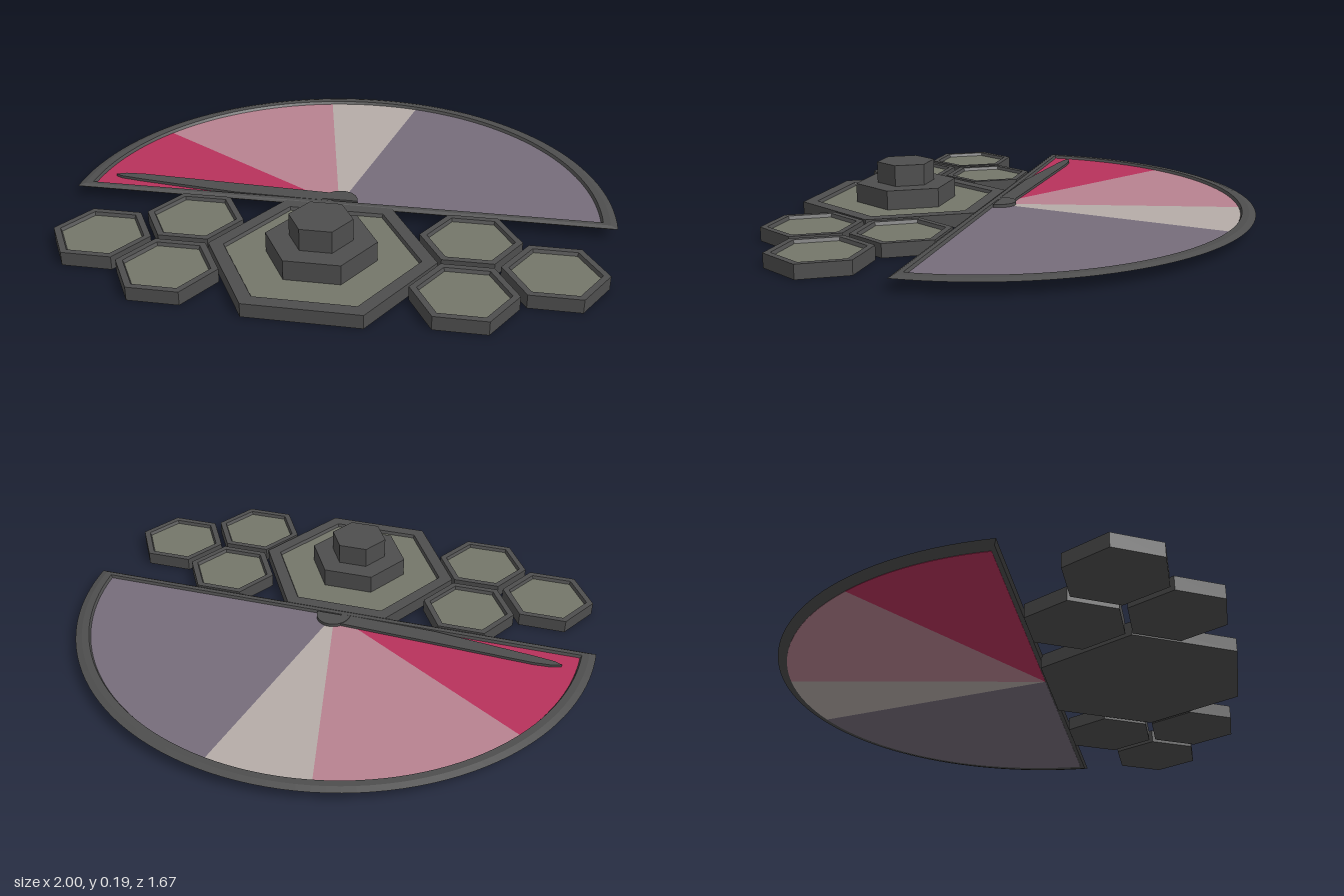
import * as THREE from 'three';

const paint = (name, color) => Object.assign(new THREE.MeshStandardMaterial({ color }), { name });

// Faceted copy of a geometry
function facet(geometry) {
  const g = geometry.index ? geometry.toNonIndexed() : geometry;
  g.computeVertexNormals();
  return g;
}

// Thin plate lying flat; points are [x, z]
function plate(points, depth, y) {
  const shape = new THREE.Shape(points.map(([x, z]) => new THREE.Vector2(x, -z)));
  const g = new THREE.ExtrudeGeometry(shape, { depth, bevelEnabled: false });
  return g.rotateX(-Math.PI / 2).translate(0, y, 0);
}

// Half-round rim: profile rows are [radius, front z, y]
function rimGeometry(profile, segments) {
  const centre = 0.15;
  const loops = profile.map(([r, front, y]) => {
    const a0 = -Math.asin((front - centre) / (r * 0.99));
    return Array.from({ length: segments + 1 }, (_, i) => {
      const a = a0 + (Math.PI - 2 * a0) * i / segments;
      return [-r * Math.cos(a), y, centre - 0.99 * r * Math.sin(a)];
    });
  });
  const pos = [];
  const n = segments + 1;
  loops.forEach((loop, j) => {
    const next = loops[(j + 1) % loops.length];
    for (let i = 0; i < n; i++) {
      const k = (i + 1) % n;
      pos.push(...loop[i], ...loop[k], ...next[i], ...loop[k], ...next[k], ...next[i]);
    }
  });
  const g = new THREE.BufferGeometry();
  g.setAttribute('position', new THREE.Float32BufferAttribute(pos, 3));
  return facet(g);
}

export function createModel() {
  const model = new THREE.Group();
  const grey = paint('dark grey', 0x4e4e4e);
  const olive = paint('olive grey', 0x74766a);
  const crimson = paint('crimson', 0xb8325c);
  const pink = paint('dusty pink', 0xb88290);
  const pale = paint('pale grey', 0xb5aca8);
  const violet = paint('muted violet', 0x766d7b);

  const add = (parent, name, geometry, material, x = 0, y = 0, z = 0) => {
    const mesh = new THREE.Mesh(geometry, material);
    mesh.name = name;
    mesh.position.set(x, y, z);
    parent.add(mesh);
    return mesh;
  };

  // Dial: bevelled rim, coloured sectors, needle and hub
  const dial = new THREE.Group();
  dial.name = 'dial';
  model.add(dial);
  add(dial, 'dialRim', rimGeometry([
    [0.942, 0.124, 0.037], [0.95, 0.13, 0.051], [0.976, 0.147, 0.051],
    [1.0, 0.16, 0.044], [0.975, 0.15, 0.037],
  ], 64), grey);

  const sectors = [
    ['crimsonSector', 0, 32, crimson], ['pinkSector', 32, 78.4, pink],
    ['paleSector', 78.4, 101.6, pale], ['violetSector', 101.6, 180, violet],
  ];
  for (const [name, from, to, material] of sectors) {
    const steps = Math.ceil((to - from) / 3);
    const points = [[0, 0.135]];
    for (let i = 0; i <= steps; i++) {
      const a = THREE.MathUtils.degToRad(from + (to - from) * i / steps);
      points.push([-0.945 * Math.cos(a), 0.135 - 0.945 * Math.sin(a)]);
    }
    add(dial, name, plate(points, 0.005, 0.0355), material);
  }

  add(dial, 'needle', plate([
    [-0.885, 0.053], [-0.85, 0.04], [-0.78, 0.036], [-0.03, 0.07],
    [-0.03, 0.13], [-0.4, 0.122], [-0.78, 0.078], [-0.86, 0.066],
  ], 0.01, 0.041), grey);
  add(dial, 'needleHub', plate(Array.from({ length: 25 }, (_, i) => {
    const a = Math.PI * i / 24;
    return [-0.065 * Math.cos(a), 0.122 - 0.07 * Math.sin(a)];
  }), 0.012, 0.041), grey);

  // Hexagonal trays with a sunken floor
  const hexPrism = (r, h) => facet(new THREE.CylinderGeometry(r, r, h, 6).rotateY(Math.PI / 6));
  const addTray = (name, x, z, outer, inner) => {
    const tray = new THREE.Group();
    tray.name = name;
    tray.position.set(x, 0, z);
    const profile = [[0, 0], [outer, 0], [outer, 0.05], [inner + 0.006, 0.05], [inner, 0.038]];
    const shell = new THREE.LatheGeometry(profile.map(p => new THREE.Vector2(...p)), 6);
    add(tray, name + 'Shell', facet(shell.rotateY(Math.PI / 6)), grey);
    const floor = new THREE.CircleGeometry(inner, 6).rotateX(-Math.PI / 2);
    add(tray, name + 'Floor', floor, olive, 0, 0.038, 0);
    model.add(tray);
    return tray;
  };

  // Central tray carries a stepped tower
  const centre = addTray('centreTray', 0, 0.493, 0.394, 0.335);
  add(centre, 'lowerTier', hexPrism(0.192, 0.075), grey, 0, 0.0725, 0);
  add(centre, 'upperTier', hexPrism(0.11, 0.08), grey, 0, 0.15, 0);

  // Three small trays on each side
  for (const [side, s] of [['left', 1], ['right', -1]]) {
    addTray(side + 'BackTray', s * 0.493, 0.317, 0.178, 0.147);
    addTray(side + 'FrontTray', s * 0.493, 0.65, 0.178, 0.147);
    addTray(side + 'OuterTray', s * 0.781, 0.483, 0.178, 0.147);
  }
  return model;
}
